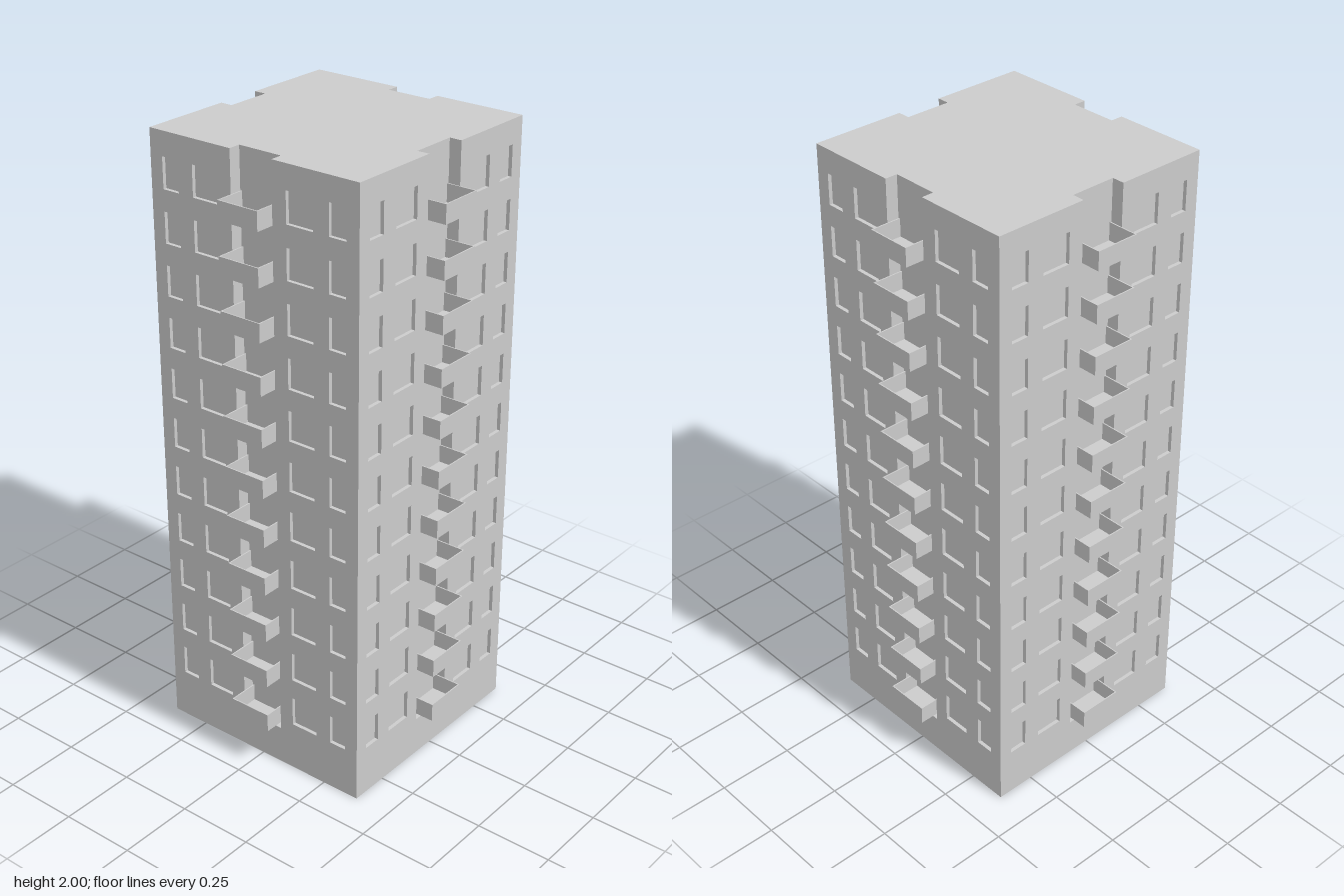
import * as THREE from 'three';

const HALF = 0.38;        // half the tower width
const HEIGHT = 2;
const SKIRT = 0.12;       // hollow base below the lowest slab
const NOTCH = 0.0755;     // half width of the balcony recess
const NOTCH_Y = 0.128;
const NOTCH_Z = 0.34;
const REVEAL = 0.012;     // window depth
const FLOORS = 11;
const PITCH = 0.166;

const material = new THREE.MeshStandardMaterial({ color: 0xcccccc, flatShading: true });
const openMaterial = new THREE.MeshStandardMaterial({ color: 0xcccccc, flatShading: true, side: THREE.DoubleSide });

function addMesh(parent, name, geometry, mat = material) {
  const mesh = new THREE.Mesh(geometry, mat);
  mesh.name = name;
  parent.add(mesh);
  return mesh;
}

function addBox(parent, name, w, h, d, x, y, z) {
  addMesh(parent, name, new THREE.BoxGeometry(w, h, d)).position.set(x, y, z);
}

function rectangle(x0, y0, x1, y1) {
  return new THREE.Path([[x0, y0], [x0, y1], [x1, y1], [x1, y0]].map(p => new THREE.Vector2(...p)));
}

// Facade sheet: notched outline with two windows on each side per floor
function facadeGeometry() {
  const outline = [
    [-HALF, SKIRT], [HALF, SKIRT], [HALF, HEIGHT], [NOTCH, HEIGHT],
    [NOTCH, NOTCH_Y], [-NOTCH, NOTCH_Y], [-NOTCH, HEIGHT], [-HALF, HEIGHT],
  ];
  const shape = new THREE.Shape(outline.map(p => new THREE.Vector2(...p)));
  for (let i = 0; i < FLOORS; i++) {
    const y0 = 0.165 + i * PITCH, y1 = y0 + 0.098;
    for (const [a, b] of [[0.125, 0.22], [0.275, 0.335]]) {
      shape.holes.push(rectangle(a, y0, b, y1), rectangle(-b, y0, -a, y1));
    }
  }
  return new THREE.ExtrudeGeometry(shape, { depth: REVEAL, bevelEnabled: false });
}

// Core: square plan with a notch in the middle of each side
function coreGeometry() {
  const r = HALF - REVEAL;
  const side = [[-r, -r], [-NOTCH, -r], [-NOTCH, -NOTCH_Z], [NOTCH, -NOTCH_Z], [NOTCH, -r]];
  const points = [];
  for (let k = 0; k < 4; k++) {
    for (const p of side) {
      points.push(new THREE.Vector2(...p).rotateAround(new THREE.Vector2(), k * Math.PI / 2));
    }
  }
  const geometry = new THREE.ExtrudeGeometry(new THREE.Shape(points), { depth: HEIGHT - NOTCH_Y, bevelEnabled: false });
  return geometry.rotateX(-Math.PI / 2).translate(0, NOTCH_Y, 0);
}

// Balcony: thin floor and a parapet on three sides
function createBalcony() {
  const balcony = new THREE.Group();
  balcony.name = 'balcony';
  const w = 0.146, h = 0.06, z0 = NOTCH_Z, z1 = 0.44, t = 0.004;
  const zMid = (z0 + z1) / 2;
  addBox(balcony, 'balconyFloor', w, t, z1 - z0, 0, t / 2, zMid);
  addBox(balcony, 'frontParapet', w, h, t, 0, h / 2, z1 - t / 2);
  for (const s of [-1, 1]) {
    addBox(balcony, 'sideParapet', t, h, z1 - z0, s * (w - t) / 2, h / 2, zMid);
  }
  return balcony;
}

export function createModel() {
  const tower = new THREE.Group();
  tower.name = 'apartmentTower';

  addMesh(tower, 'core', coreGeometry());
  const slab = 2 * (HALF - REVEAL / 2);
  addBox(tower, 'lowestSlab', slab, NOTCH_Y - SKIRT, slab, 0, (NOTCH_Y + SKIRT) / 2, 0);

  // Open base walls
  const skirt = new THREE.CylinderGeometry(HALF * Math.SQRT2, HALF * Math.SQRT2, SKIRT, 4, 1, true);
  skirt.rotateY(Math.PI / 4).translate(0, SKIRT / 2, 0);
  addMesh(tower, 'baseWalls', skirt, openMaterial);

  // Four identical sides
  const facade = facadeGeometry();
  for (let k = 0; k < 4; k++) {
    const side = new THREE.Group();
    side.name = 'towerSide';
    side.rotation.y = k * Math.PI / 2;
    addMesh(side, 'facade', facade).position.z = HALF - REVEAL;
    for (let i = 0; i < FLOORS; i++) {
      const balcony = createBalcony();
      balcony.position.y = 0.148 + i * PITCH;
      side.add(balcony);
    }
    tower.add(side);
  }
  return tower;
}
